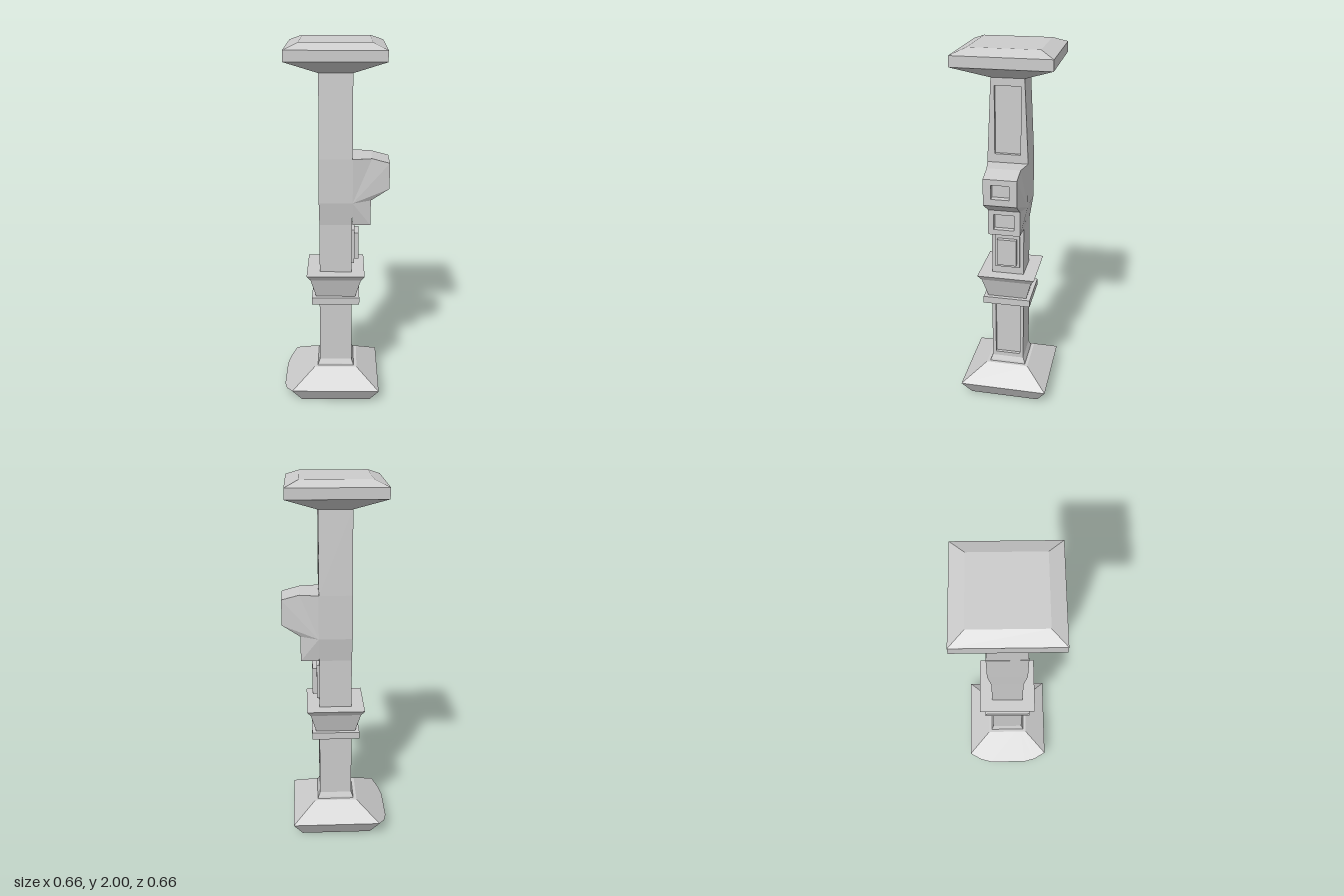
import * as THREE from 'three';

const material = new THREE.MeshStandardMaterial({ color: 0xcccccc, flatShading: true });

function meshFrom(name, positions) {
  const g = new THREE.BufferGeometry();
  g.setAttribute('position', new THREE.Float32BufferAttribute(positions.flat(), 3));
  g.computeVertexNormals();
  const m = new THREE.Mesh(g, material);
  m.name = name;
  return m;
}

// Joins equal-length rings; each runs counter-clockwise seen from the end of the loft
function loft(name, rings, { startCap = true, openSide = -1 } = {}) {
  const p = [], n = rings[0].length, last = rings[rings.length - 1];
  for (let i = 0; i < rings.length - 1; i++) {
    for (let k = 0; k < n; k++) {
      if (k === openSide) continue;
      const j = (k + 1) % n;
      const a = rings[i][k], b = rings[i][j], c = rings[i + 1][j], d = rings[i + 1][k];
      p.push(a, b, c, a, c, d);
    }
  }
  for (let k = 1; k < n - 1; k++) {
    p.push(last[0], last[k], last[k + 1]);
    if (startCap) p.push(rings[0][0], rings[0][k + 1], rings[0][k]);
  }
  return meshFrom(name, p);
}

// Horizontal rectangle, half sizes hx and hz; side 0 faces +x
const rect = (y, hx, hz = hx) => [[hx, y, hz], [hx, y, -hz], [-hx, y, -hz], [-hx, y, hz]];

// Upright rectangle facing +x, with half widths at the bottom and top
const upright = (x, y0, y1, w0, w1 = w0) => [[x, y0, w0], [x, y0, -w0], [x, y1, -w1], [x, y1, w1]];

// Flat face with a sunken rectangular panel
function recess(name, x, outer, inner, depth) {
  return loft(name, [upright(x, ...outer), upright(x, ...inner), upright(x - depth, ...inner)], { startCap: false });
}

function box(name, x0, x1, y0, y1, hz) {
  const m = new THREE.Mesh(new THREE.BoxGeometry(x1 - x0, y1 - y0, hz * 2), material);
  m.position.set((x0 + x1) / 2, (y0 + y1) / 2, 0);
  m.name = name;
  return m;
}

// Base outline: square with a bowed -x edge
function baseRing(y, h, bow, slope = 0) {
  const edge = [[1, 0], [0.72, 0.7], [0.45, 1]];
  const side = edge.map(([z, b]) => [-h - b * bow, y - slope * b * bow, h * z]);
  return [[h, y, h], [h, y, -h],
    ...side.map(([x, yy, z]) => [x, yy, -z]),
    ...side.reverse()];
}

// Stepped bracket on the +x side, from a side profile of [x, y, half width]
function bracket() {
  const pts = [
    [0.09, 1.16, 0.108], [0.09, 1.03, 0.088], [0.187, 1.03, 0.085], [0.187, 1.17, 0.085],
    [0.284, 1.235, 0.087], [0.284, 1.375, 0.087], [0.19, 1.4, 0.088], [0.09, 1.4, 0.108],
  ];
  const front = pts.map(([x, y, z]) => [x, y, z]);
  const back = pts.map(([x, y, z]) => [x, y, -z]);
  const p = [];
  for (let i = 1; i < pts.length - 1; i++) {
    p.push(front[0], front[i], front[i + 1], back[0], back[i + 1], back[i]);
  }
  // The two end faces (2 and 4) are filled by recessed panels
  for (const i of [1, 3, 5, 6]) {
    p.push(front[i], back[i], back[i + 1], front[i], back[i + 1], front[i + 1]);
  }
  return meshFrom('bracket', p);
}

export function createModel() {
  const post = new THREE.Group();
  post.name = 'post';

  // Base and foot moulding
  post.add(loft('base', [baseRing(0, 0.194, 0.042), baseRing(0.085, 0.244, 0.05, 0.685), baseRing(0.17, 0.12, 0)]));
  post.add(loft('footMoulding', [rect(0.165, 0.104), rect(0.18, 0.1), rect(0.205, 0.09)]));

  // Lower shaft with its sunken panel
  post.add(loft('lowerShaft', [rect(0.2, 0.09), rect(0.58, 0.09)], { openSide: 0 }));
  post.add(recess('lowerPanel', 0.09, [0.2, 0.58, 0.09], [0.23, 0.555, 0.07], 0.018));

  // Collar band and flared collar
  post.add(loft('collarBand', [rect(0.575, 0.131), rect(0.615, 0.131)]));
  post.add(loft('collar', [rect(0.61, 0.107), rect(0.725, 0.138), rect(0.755, 0.158)]));

  // Middle shaft, swelling in depth behind the bracket
  post.add(loft('middleShaft', [
    rect(0.75, 0.088), rect(1.03, 0.088), rect(1.16, 0.09, 0.108), rect(1.4, 0.09, 0.108),
  ]));
  post.add(box('raisedPanel', 0.08, 0.102, 0.8, 0.995, 0.068));
  post.add(box('raisedPanelCentre', 0.09, 0.125, 0.82, 0.972, 0.053));

  // Bracket with two sunken end panels
  post.add(bracket());
  post.add(recess('bracketLowerPanel', 0.187, [1.03, 1.17, 0.085], [1.06, 1.145, 0.055], 0.03));
  post.add(recess('bracketUpperPanel', 0.284, [1.235, 1.375, 0.087], [1.27, 1.345, 0.047], 0.035));

  // Tapered upper shaft with its sunken panel
  post.add(loft('upperShaft', [rect(1.4, 0.088, 0.108), rect(1.85, 0.088, 0.086)], { openSide: 0 }));
  post.add(recess('upperPanel', 0.088, [1.4, 1.85, 0.108, 0.086], [1.445, 1.8, 0.068], 0.02));

  // Square cap
  post.add(loft('cap', [rect(1.84, 0.088), rect(1.915, 0.252), rect(1.97, 0.252), rect(2, 0.18)]));

  // The whole post stands turned about its axis
  post.rotation.y = 0.396;
  const model = new THREE.Group();
  model.name = 'model';
  model.add(post);
  return model;
}
